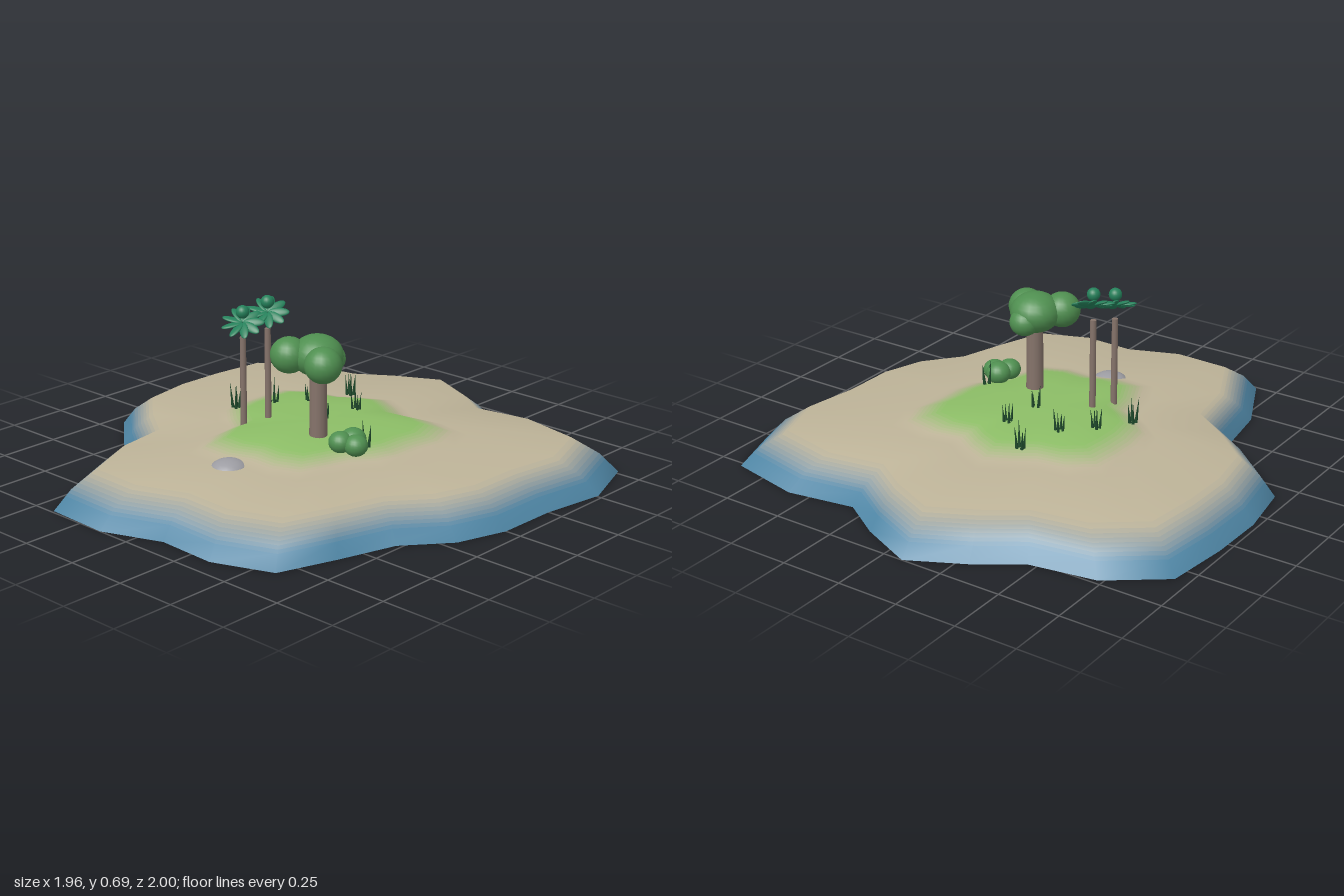
import * as THREE from 'three';

// Coastline seen from above, [x, z], clockwise from the back tip
const COAST = [
  [-0.08, -1], [0.145, -0.9], [0.315, -0.79], [0.59, -0.835], [0.89, -0.77], [0.98, -0.51], [0.94, -0.25],
  [0.935, 0], [0.87, 0.2], [0.73, 0.37], [0.66, 0.6], [0.58, 0.83], [0.345, 0.92], [0.1, 0.91], [-0.14, 1],
  [-0.41, 0.99], [-0.54, 0.71], [-0.58, 0.455], [-0.755, 0.335], [-0.94, 0.17], [-0.98, -0.07],
  [-0.975, -0.31], [-0.945, -0.57], [-0.73, -0.73], [-0.465, -0.775], [-0.295, -0.89],
];
// Terrain profile: coastline scale and height, from the water's edge to the hilltop
const PROFILE = [[1, 0], [0.935, 0.075], [0.84, 0.14], [0.5, 0.142], [0.42, 0.165], [0.34, 0.19], [0.2, 0.2], [0.001, 0.2]];
const WATER = 0x4f86a5, SAND = 0xbdb398, GRASS = 0x8cbd66;
const LEAF = 0x4f8f50, PALM = 0x24805a, BLADE = 0x1f4a2c, BARK = 0x85736a, STONE = 0x9c9ca2;

const material = (color, side = THREE.FrontSide) => new THREE.MeshStandardMaterial({ color, side });

function add(parent, name, geometry, mat, [x, y, z]) {
  const mesh = new THREE.Mesh(geometry, mat);
  mesh.name = name;
  mesh.position.set(x, y, z);
  parent.add(mesh);
  return mesh;
}

function group(parent, name) {
  const g = new THREE.Group();
  g.name = name;
  parent.add(g);
  return g;
}

const blob = (rx, ry, rz = rx) => new THREE.SphereGeometry(1, 20, 14).scale(rx, ry, rz);

// Smooth sheet of rings that share the coastline's corners
function ringSheet(rings) {
  const n = COAST.length, index = [];
  for (let r = 0; r < rings - 1; r++) {
    for (let i = 0; i < n; i++) {
      const a = r * n + i, b = r * n + (i + 1) % n;
      index.push(a, a + n, b, b, a + n, b + n);
    }
  }
  return index;
}

function terrain(parent) {
  const n = COAST.length;
  const coarse = new THREE.BufferGeometry();
  const points = PROFILE.flatMap(([s, y]) => COAST.flatMap(([x, z]) => [x * s, y, z * s]));
  coarse.setAttribute('position', new THREE.Float32BufferAttribute(points, 3));
  coarse.setIndex(ringSheet(PROFILE.length));
  coarse.computeVertexNormals();
  const P = coarse.attributes.position, N = coarse.attributes.normal;

  // One ring of corners at a coastline scale, with blended normals
  const ringAt = (s) => {
    let k = 0;
    while (k < PROFILE.length - 2 && PROFILE[k + 1][0] > s) k++;
    const t = (PROFILE[k][0] - s) / (PROFILE[k][0] - PROFILE[k + 1][0]);
    const pos = [], nor = [];
    for (let i = 0; i < n; i++) {
      const a = k * n + i, b = a + n, v = new THREE.Vector3(), w = new THREE.Vector3();
      pos.push(...v.fromBufferAttribute(P, a).lerp(w.fromBufferAttribute(P, b), t));
      nor.push(...v.fromBufferAttribute(N, a).lerp(w.fromBufferAttribute(N, b), t).normalize());
    }
    return { pos, nor };
  };
  const band = (owner, name, scales, color) => {
    const rings = scales.map(ringAt);
    const geo = new THREE.BufferGeometry();
    geo.setAttribute('position', new THREE.Float32BufferAttribute(rings.flatMap((r) => r.pos), 3));
    geo.setAttribute('normal', new THREE.Float32BufferAttribute(rings.flatMap((r) => r.nor), 3));
    geo.setIndex(ringSheet(rings.length));
    add(owner, name, geo, material(color, THREE.DoubleSide), [0, 0, 0]);
  };
  // Thin bands shading from one ground colour to the next
  const blend = (name, scales, from, to) => {
    const g = group(parent, name), last = scales.length - 1;
    for (let i = 0; i < last; i++) {
      const color = new THREE.Color(from).lerp(new THREE.Color(to), (i + 0.5) / last);
      band(g, name + 'Band', [scales[i], scales[i + 1]], color);
    }
  };
  band(parent, 'waterEdge', [1, 0.955], WATER);
  blend('shore', [0.955, 0.945, 0.935, 0.92, 0.905, 0.89, 0.875, 0.86, 0.84], WATER, SAND);
  band(parent, 'beach', [0.84, 0.5, 0.45], SAND);
  blend('hillside', [0.45, 0.435, 0.42, 0.404, 0.388, 0.372, 0.356, 0.34], SAND, GRASS);
  band(parent, 'meadow', [0.34, 0.2, 0.001], GRASS);
}

function trunk(parent, x, z, radius, top) {
  const base = 0.17;
  add(parent, 'trunk', new THREE.CylinderGeometry(radius * 0.92, radius, top - base, 14), material(BARK), [x, (top + base) / 2, z]);
}

// Thin trunk, tilted crown of flat leaves and a round bud above it
function palm(parent, x, z, trunkTop, crownY) {
  const g = group(parent, 'palm');
  trunk(g, x, z, 0.013, trunkTop);
  const crown = group(g, 'crown');
  crown.position.set(x, crownY, z);
  crown.quaternion.setFromUnitVectors(new THREE.Vector3(0, 1, 0), new THREE.Vector3(0.3, 0.85, 0.4).normalize());
  const leaf = blob(0.042, 0.007, 0.018), mat = material(PALM);
  for (let i = 0; i < 9; i++) {
    const a = i / 9 * Math.PI * 2;
    const m = add(crown, 'leaf', leaf, mat, [Math.cos(a) * 0.043, 0, -Math.sin(a) * 0.043]);
    m.rotation.set(0.35, a, 0, 'YXZ');
  }
  add(g, 'bud', blob(0.026, 0.026), mat, [x, crownY + 0.042, z]);
}

function grassTuft(parent, x, z) {
  const g = group(parent, 'grassTuft');
  const mat = material(BLADE);
  for (let i = 0; i < 4; i++) {
    const a = i * 1.7 + x * 20, h = 0.085 + 0.012 * (i % 3);
    const blade = add(g, 'blade', new THREE.ConeGeometry(0.0065, h, 6), mat,
      [x + Math.cos(a) * 0.018, 0.185 + h / 2, z + Math.sin(a) * 0.016]);
    blade.rotation.set(Math.sin(a) * 0.1, 0, -Math.cos(a) * 0.1);
  }
}

export function createModel() {
  const model = new THREE.Group();
  model.name = 'island';
  terrain(model);

  // Broad tree
  const tree = group(model, 'tree');
  trunk(tree, 0.12, 0.12, 0.035, 0.48);
  const leafMat = material(LEAF);
  for (const [x, y, z, rx, ry] of [
    [0.12, 0.52, 0.125, 0.1, 0.08], [0.045, 0.522, 0.2, 0.073, 0.07],
    [0.2, 0.51, 0.18, 0.072, 0.07], [0.13, 0.495, 0.065, 0.06, 0.055],
  ]) add(tree, 'canopy', blob(rx, ry), leafMat, [x, y, z]);

  // Low bush
  const bush = group(model, 'bush');
  for (const [x, y, z, r] of [[0.29, 0.222, 0.11, 0.05], [0.33, 0.215, 0.14, 0.046], [0.275, 0.222, 0.165, 0.046]])
    add(bush, 'bushClump', blob(r, r * 0.9), leafMat, [x, y, z]);

  // Pair of palms
  palm(model, -0.2, 0.2, 0.54, 0.598);
  palm(model, -0.165, 0.1, 0.56, 0.624);

  // Grass on the meadow
  for (const [x, z] of [[-0.13, -0.34], [-0.18, -0.155], [0.025, -0.2], [0.01, -0.03], [-0.28, -0.05], [-0.36, 0.085], [0.31, 0.06]])
    grassTuft(model, x, z);

  // Half-buried stones
  add(model, 'stone', blob(0.078, 0.05), material(STONE), [-0.01, 0.115, 0.47]);
  add(model, 'smallStone', blob(0.032, 0.03), material(STONE), [0.4, 0.11, -0.01]);
  return model;
}
